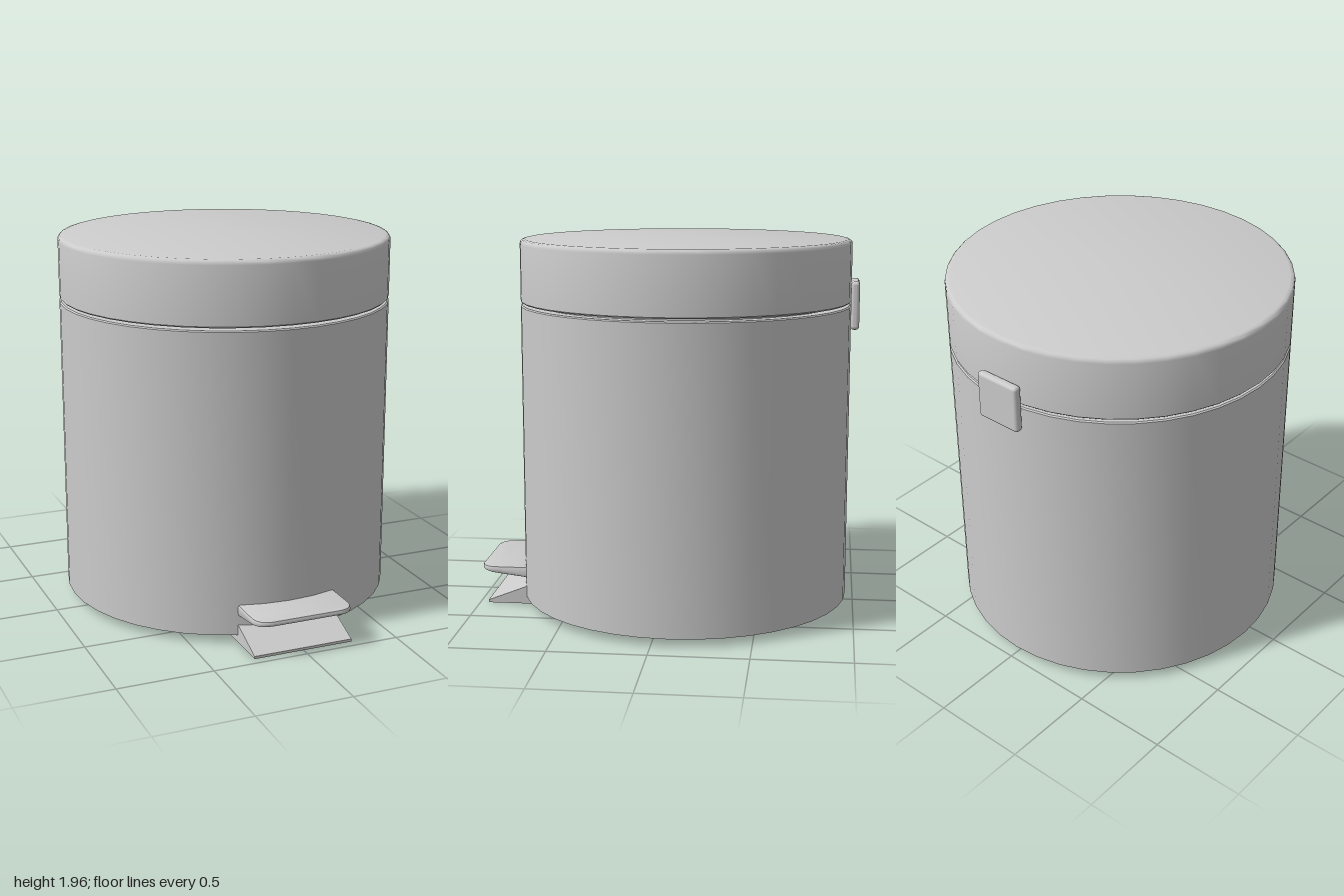
import * as THREE from 'three';
import { toCreasedNormals } from 'three/addons/utils/BufferGeometryUtils.js';
import { RoundedBoxGeometry } from 'three/addons/geometries/RoundedBoxGeometry.js';

const SIDES = 40;
const RADIUS = 0.873;
const AXIS_Z = -0.086; // the drum sits back to leave room for the pedal

const solid = new THREE.MeshStandardMaterial({ color: 0xcccccc });
const sheet = new THREE.MeshStandardMaterial({ color: 0xcccccc, side: THREE.DoubleSide });

function part(name, geometry, material = solid) {
  const mesh = new THREE.Mesh(geometry, material);
  mesh.name = name;
  return mesh;
}

// Thin turned shell around the drum axis, from [radius, height] pairs
function turned(name, profile) {
  const points = profile.map(([r, y]) => new THREE.Vector2(r, y));
  const mesh = part(name, toCreasedNormals(new THREE.LatheGeometry(points, SIDES), 0.6), sheet);
  mesh.position.z = AXIS_Z;
  return mesh;
}

// Foot plate: rounded front corners, underside deepening towards the drum
function pedalGeometry() {
  const w = 0.255, front = 0.985, back = 0.7, r = 0.08, bevel = 0.012;
  const top = 0.203, height = 0.03;
  const shape = new THREE.Shape();
  shape.moveTo(-w, -back);
  shape.lineTo(-w, -front + r);
  shape.quadraticCurveTo(-w, -front, -w + r, -front);
  shape.lineTo(w - r, -front);
  shape.quadraticCurveTo(w, -front, w, -front + r);
  shape.lineTo(w, -back);
  shape.closePath();
  const geometry = new THREE.ExtrudeGeometry(shape, {
    depth: height - 2 * bevel, bevelEnabled: true, bevelSize: bevel,
    bevelThickness: bevel, bevelSegments: 2, curveSegments: 8,
  });
  geometry.rotateX(-Math.PI / 2);
  geometry.translate(0, top - height + bevel, 0);
  const p = geometry.attributes.position;
  for (let i = 0; i < p.count; i++) {
    if (p.getY(i) < top - height / 2) {
      const t = Math.max(0, (front - p.getZ(i)) / (front - back));
      p.setY(i, p.getY(i) - 0.035 * t);
    }
  }
  return toCreasedNormals(geometry, 0.6);
}

// Sloped foot below the pedal, drawn in side profile (z, y)
function footGeometry() {
  const w = 0.267;
  const shape = new THREE.Shape([
    [0.955, 0], [0.955, 0.014], [0.735, 0.1], [0.735, 0.04], [0.65, 0.04], [0.65, 0],
  ].map(([z, y]) => new THREE.Vector2(z, y)));
  const geometry = new THREE.ExtrudeGeometry(shape, { depth: 2 * w, bevelEnabled: false });
  geometry.translate(0, 0, -w);
  geometry.rotateY(-Math.PI / 2);
  return geometry;
}

export function createModel() {
  const model = new THREE.Group();
  model.name = 'pedalBin';

  // Drum, open below, with a narrow neck under the lid
  model.add(turned('body', [[RADIUS, 0.04], [RADIUS, 1.606], [0.866, 1.612], [0.805, 1.612]]));
  model.add(turned('neck', [[0.805, 1.6], [0.805, 1.635]]));

  // Lid with a small rounded rim
  model.add(turned('lid', [
    [0.805, 1.625], [0.866, 1.625], [RADIUS, 1.632], [RADIUS, 1.928],
    [0.87, 1.941], [0.862, 1.949], [0.847, 1.953], [0, 1.956],
  ]));

  // Hinge cover at the back
  const hinge = part('hingeCover', new RoundedBoxGeometry(0.25, 0.25, 0.045, 3, 0.018));
  hinge.position.set(-0.006, 1.615, -0.978);
  model.add(hinge);

  model.add(part('pedal', pedalGeometry()));
  model.add(part('foot', footGeometry()));
  return model;
}
